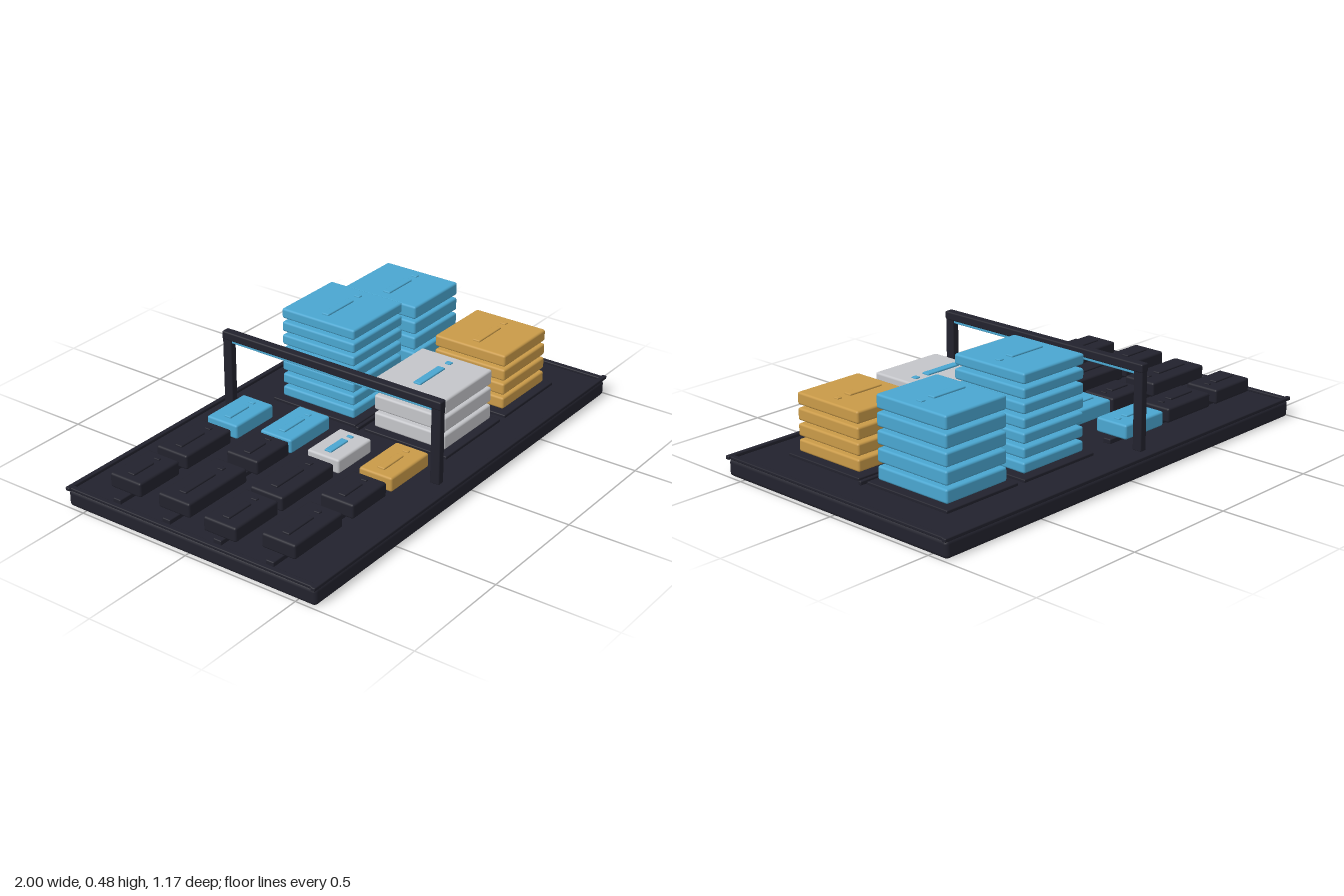
import * as THREE from 'three';
import { RoundedBoxGeometry } from 'three/addons/geometries/RoundedBoxGeometry.js';

const material = (name, color) => {
  const m = new THREE.MeshStandardMaterial({ color });
  m.name = name;
  return m;
};

export function createModel() {
  const dark = material('charcoal', 0x22222d);
  const blue = material('blue', 0x4aa6d0);
  const grey = material('light grey', 0xc4c5c9);
  const amber = material('amber', 0xc99a48);

  const model = new THREE.Group();
  model.name = 'sortingTable';

  // box given by its extents on each axis, with an optional edge radius
  function box(parent, name, mat, [x0, x1], [y0, y1], [z0, z1], radius = 0) {
    const size = [x1 - x0, y1 - y0, z1 - z0];
    const geo = radius ? new RoundedBoxGeometry(...size, 2, radius) : new THREE.BoxGeometry(...size);
    const mesh = new THREE.Mesh(geo, mat);
    mesh.name = name;
    mesh.position.set((x0 + x1) / 2, (y0 + y1) / 2, (z0 + z1) / 2);
    parent.add(mesh);
    return mesh;
  }

  // raised handle and latch on the top of a case
  function lidDetails(parent, mat, [x0, x1], top, z, halfDepth) {
    const w = x1 - x0;
    box(parent, 'handle', mat, [x0 + 0.15 * w, x0 + 0.67 * w], [top - 0.004, top + 0.007],
      [z - halfDepth, z + halfDepth], 0.004);
    box(parent, 'latch', mat, [x0 + 0.79 * w, x0 + 0.86 * w], [top - 0.004, top + 0.005],
      [z - 0.013, z + 0.013], 0.003);
  }

  // base slab and edge rails
  box(model, 'base', dark, [-0.99, 0.99], [0, 0.071], [-0.58, 0.58], 0.016);
  for (const s of [-1, 1]) {
    box(model, 'longRail', dark, [-1, 1], [0.069, 0.084], [s * 0.574 - 0.01, s * 0.574 + 0.01], 0.004);
    box(model, 'shortRail', dark, [s * 0.98 - 0.012, s * 0.98 + 0.012], [0.069, 0.082], [-0.568, 0.568], 0.004);
  }

  // stacks of cases, each on a low tray
  const back = [-0.383, -0.028], front = [0.071, 0.404];
  const left = [0.06, 0.39], right = [0.48, 0.79];
  const stacks = [
    { x: left, z: back, count: 7, pitch: 0.0575, height: 0.043, mat: blue, detail: blue },
    { x: right, z: back, count: 5, pitch: 0.069, height: 0.056, mat: blue, detail: blue },
    { x: left, z: front, count: 3, pitch: 0.0765, height: 0.064, mat: grey, detail: blue },
    { x: right, z: front, count: 4, pitch: 0.0625, height: 0.05, mat: amber, detail: amber },
  ];
  for (const { x, z, count, pitch, height, mat, detail } of stacks) {
    const stack = new THREE.Group();
    stack.name = 'caseStack';
    model.add(stack);
    box(stack, 'tray', dark, [x[0] - 0.028, x[1] + 0.028], [0.068, 0.083], [z[0] - 0.028, z[1] + 0.028], 0.004);
    let top = 0;
    for (let i = 0; i < count; i++) {
      const y = 0.089 + i * pitch;
      top = y + height;
      box(stack, 'case', mat, x, [y, top], z, 0.009);
    }
    lidDetails(stack, detail, x, top, (z[0] + z[1]) / 2, 0.017);
  }
  box(model, 'divider', dark, [0.02, 0.84], [0.069, 0.086], [0.008, 0.024], 0.004);

  // four lanes with small cases riding on a guide strip
  const lanes = [
    { z: -0.362, mat: blue, detail: blue, spans: [[-0.91, -0.69], [-0.65, -0.385], [-0.353, -0.125]] },
    { z: -0.122, mat: blue, detail: blue, spans: [[-0.915, -0.585], [-0.525, -0.33], [-0.32, -0.07]] },
    { z: 0.118, mat: grey, detail: blue, spans: [[-0.945, -0.7], [-0.68, -0.365], [-0.337, -0.125]] },
    { z: 0.356, mat: amber, detail: amber, spans: [[-0.91, -0.63], [-0.57, -0.36], [-0.33, -0.085]] },
  ];
  for (const { z, mat, detail, spans } of lanes) {
    const lane = new THREE.Group();
    lane.name = 'lane';
    model.add(lane);
    box(lane, 'guideStrip', dark, [-0.96, -0.1], [0.069, 0.09], [z - 0.018, z + 0.018], 0.004);
    spans.forEach((x, i) => {
      const scanned = i === 2;
      box(lane, 'smallCase', scanned ? mat : dark, x, [0.094, 0.154], [z - 0.075, z + 0.075], 0.009);
      lidDetails(lane, scanned ? detail : dark, x, 0.154, z, 0.016);
    });
  }

  // arch over the lanes with a light strip below the beam
  const arch = new THREE.Group();
  arch.name = 'arch';
  model.add(arch);
  for (const s of [-1, 1]) {
    box(arch, 'post', dark, [-0.147, -0.115], [0.069, 0.4], [s * 0.498 - 0.021, s * 0.498 + 0.021], 0.005);
  }
  box(arch, 'beam', dark, [-0.15, -0.112], [0.385, 0.42], [-0.52, 0.52], 0.006);
  box(arch, 'lightStrip', blue, [-0.142, -0.12], [0.373, 0.387], [-0.478, 0.478], 0.003);

  return model;
}
